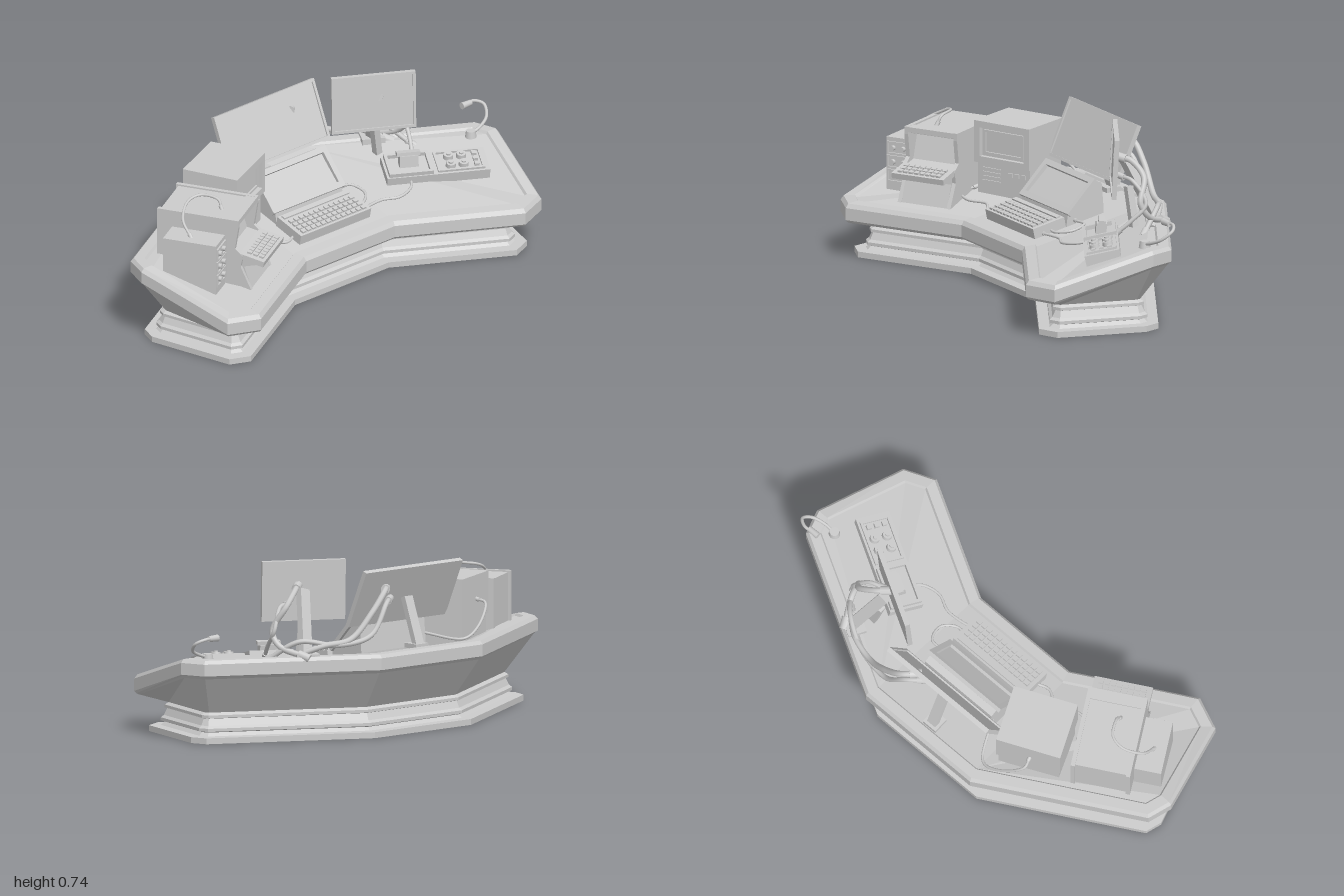
import * as THREE from 'three';

const mat = new THREE.MeshStandardMaterial({ color: 0xcccccc });
const flat = new THREE.MeshStandardMaterial({ color: 0xcccccc, flatShading: true });

function add(parent, name, geo, pos = [0, 0, 0], rot = [0, 0, 0], m = mat) {
  const mesh = new THREE.Mesh(geo, m);
  mesh.name = name;
  mesh.position.set(...pos);
  mesh.rotation.set(...rot);
  parent.add(mesh);
  return mesh;
}
const box = (parent, name, size, pos, rot) => add(parent, name, new THREE.BoxGeometry(...size), pos, rot);

function group(parent, name, pos, rot = [0, 0, 0]) {
  const g = new THREE.Group();
  g.name = name;
  g.position.set(...pos);
  g.rotation.set(...rot, 'YXZ');
  parent.add(g);
  return g;
}

// Side profile given as [z, y], extruded across x
function prism(points, width) {
  const shape = new THREE.Shape(points.map(p => new THREE.Vector2(...p)));
  return new THREE.ExtrudeGeometry(shape, { depth: width, bevelEnabled: false })
    .translate(0, 0, -width / 2).rotateY(-Math.PI / 2);
}

// Rectangular frame with an opening, facing +z
function frame(w, h, border, depth) {
  const rect = (S, a, b) => new S([[-a, -b], [a, -b], [a, b], [-a, b]].map(p => new THREE.Vector2(...p)));
  const shape = rect(THREE.Shape, w / 2, h / 2);
  shape.holes.push(rect(THREE.Path, w / 2 - border, h / 2 - border));
  return new THREE.ExtrudeGeometry(shape, { depth, bevelEnabled: false });
}

function cable(parent, points, r = 0.006, name = 'cable') {
  const curve = new THREE.CatmullRomCurve3(points.map(p => new THREE.Vector3(...p)));
  const mesh = add(parent, name, new THREE.TubeGeometry(curve, 40, r, 8));
  // plugs at both ends
  for (const t of [0, 1]) {
    const plug = add(parent, 'cablePlug', new THREE.CylinderGeometry(r * 1.5, r * 1.5, r * 4, 10), curve.getPoint(t).toArray());
    plug.quaternion.setFromUnitVectors(new THREE.Vector3(0, 1, 0), curve.getTangent(t));
  }
  return mesh;
}

function rod(parent, name, a, b, w, d) {
  const A = new THREE.Vector3(...a), B = new THREE.Vector3(...b);
  const m = box(parent, name, [w, A.distanceTo(B), d], A.clone().lerp(B, 0.5).toArray());
  m.quaternion.setFromUnitVectors(new THREE.Vector3(0, 1, 0), B.sub(A).normalize());
}

// Desk outline as [x, z]: back, right side, front, left side
const half = [[0.29, -0.48], [0.957, -0.107], [0.99, 0], [0.872, 0.413], [0.735, 0.47], [0.246, 0.197]];
const outline = [[-0.29, -0.48], ...half, ...half.slice(1).reverse().map(([x, z]) => [-x, z])];
const WING = 0.512, SLOPE = 0.21;

function inset(d) {
  const n = outline.length;
  const normal = (a, b) => new THREE.Vector2(a[1] - b[1], b[0] - a[0]).normalize();
  return outline.map((p, i) => {
    const n1 = normal(outline[(i + n - 1) % n], p), n2 = normal(p, outline[(i + 1) % n]);
    const k = d / (1 + n1.dot(n2));
    return [p[0] + k * (n1.x + n2.x), p[1] + k * (n1.y + n2.y)];
  });
}

// Height of the sloped worktop
function deskY(x, z) {
  const d = Math.max(0.197 - z, 0.49 * (Math.abs(x) - 0.246) - 0.872 * (z - 0.197));
  return Math.min(0.352, 0.228 + 0.215 * d);
}

// Console body: rings of [inset, height at back, height at front]
function deskGeometry() {
  const rings = [
    [0.055, 0, 0], [0.055, 0.025, 0.025], [0.1, 0.026, 0.026], [0.115, 0.04, 0.04], [0.1, 0.045, 0.045], [0.1, 0.058, 0.058],
    [0.112, 0.068, 0.068], [0.125, 0.097, 0.097], [0.115, 0.1, 0.1], [0.115, 0.112, 0.112], [0.13, 0.122, 0.122],
    [0.018, 0.28, 0.155], [0.008, 0.29, 0.16], [0, 0.295, 0.17], [0, 0.345, 0.222], [0.012, 0.36, 0.24],
    [0.055, 0.36, 0.246], [0.062, 0.35, 0.236],
  ];
  const pos = [], idx = [], n = outline.length;
  rings.forEach(([d, yb, yf], r) => inset(d).forEach(([x, z], i) => {
    pos.push(x, i > 3 && i < 10 ? yf : yb, z);
    if (r === 0) return;
    const a = (r - 1) * n + i, b = (r - 1) * n + (i + 1) % n;
    idx.push(a, a + n, b, b, a + n, b + n);
  }));
  // caps: centre bay and two wings
  const caps = [[0, 1, 6], [0, 6, 7]];
  for (let i = 2; i < 6; i++) caps.push([1, i, i + 1]);
  for (let i = 7; i < 11; i++) caps.push([0, i, i + 1]);
  const t = (rings.length - 1) * n;
  for (const [a, b, c] of caps) idx.push(a, b, c, t + a, t + c, t + b);
  const g = new THREE.BufferGeometry();
  g.setAttribute('position', new THREE.Float32BufferAttribute(pos, 3));
  g.setIndex(idx);
  g.computeVertexNormals();
  return g;
}

function flatScreen(parent, name, w, h, pos, rot) {
  const g = group(parent, name, pos, rot);
  box(g, 'screenBack', [w, h, 0.014], [0, 0, -0.004]);
  add(g, 'screenBezel', frame(w, h, 0.012, 0.008), [0, 0, 0.002]);
  return g;
}

function keys(parent, cols, rows, w, d, y, z) {
  for (let r = 0; r < rows; r++) for (let c = 0; c < cols; c++) {
    box(parent, 'key', [w / cols * 0.75, 0.01, d / rows * 0.72],
      [(c + 0.5) / cols * w - w / 2, y, z + (r + 0.5) / rows * d - d / 2]);
  }
}

export function createModel() {
  const model = new THREE.Group();
  model.name = 'controlDesk';
  add(model, 'deskBody', deskGeometry(), [-0.006, 0, 0], [0, 0, 0], flat);

  // Wide centre screen with post
  flatScreen(model, 'wideScreen', 0.555, 0.262, [-0.01, 0.575, -0.305], [-0.42, 0, 0]);
  rod(model, 'screenPost', [-0.01, 0.34, -0.4], [-0.01, 0.56, -0.32], 0.045, 0.025);
  box(model, 'postFoot', [0.07, 0.02, 0.07], [-0.01, 0.36, -0.38]);

  // Angled right screen with leaning stand
  flatScreen(model, 'sideScreen', 0.36, 0.255, [0.42, 0.612, -0.145], [-0.05, -WING, 0]);
  rod(model, 'sideScreenArm', [0.54, 0.34, -0.29], [0.45, 0.62, -0.175], 0.05, 0.03);
  rod(model, 'sideScreenBrace', [0.49, 0.33, -0.2], [0.46, 0.5, -0.19], 0.03, 0.03);
  box(model, 'standFoot', [0.1, 0.03, 0.08], [0.53, 0.355, -0.28], [0, -WING, 0]);

  // Centre console: tilted display and keyboard
  const centre = group(model, 'centreTerminal', [-0.01, 0, 0]);
  add(centre, 'displayBody', prism([[-0.24, 0.33], [-0.23, 0.445], [-0.2, 0.455], [-0.065, 0.325], [-0.055, 0.26], [-0.24, 0.28]], 0.37));
  add(centre, 'displayFrame', frame(0.4, 0.19, 0.025, 0.018), [0, 0.39, -0.135], [-0.766, 0, 0]);
  const board = group(centre, 'keyboard', [0, 0.285, 0.03], [SLOPE, 0, 0]);
  box(board, 'keyboardCase', [0.39, 0.045, 0.155], [0, 0, 0]);
  keys(board, 13, 4, 0.36, 0.105, 0.026, 0.018);
  box(board, 'keyboardStrip', [0.36, 0.01, 0.02], [0, 0.024, -0.058]);

  // Cube monitor on a vented base, left of centre
  const cube = group(model, 'cubeMonitor', [-0.395, 0, -0.17], [0, 0.42, 0]);
  box(cube, 'monitorCase', [0.28, 0.18, 0.23], [0, 0.512, -0.005]);
  add(cube, 'monitorFrame', frame(0.28, 0.18, 0.028, 0.02), [0, 0.512, 0.11]);
  add(cube, 'screenRim', frame(0.2, 0.105, 0.01, 0.008), [0, 0.512, 0.11]);
  box(cube, 'monitorBase', [0.265, 0.15, 0.225], [0, 0.35, 0]);
  for (let i = 0; i < 4; i++) box(cube, 'vent', [0.09, 0.006, 0.008], [-0.06, 0.345 + i * 0.018, 0.114]);
  for (let i = 0; i < 3; i++) box(cube, 'baseButton', [0.022, 0.018, 0.01], [0.035 + i * 0.033, 0.385, 0.114]);

  // Tall terminal on the left wing
  const tall = group(model, 'tallTerminal', [-0.55, 0, 0.17], [0, WING, 0]);
  add(tall, 'terminalCore', prism([[-0.35, 0.25], [-0.35, 0.555], [-0.02, 0.555], [-0.025, 0.53], [-0.075, 0.515],
    [-0.045, 0.415], [0.1, 0.385], [0.1, 0.368], [0.02, 0.345], [0.06, 0.23]], 0.22));
  for (const s of [-1, 1]) {
    add(tall, 'terminalCheek', prism([[-0.36, 0.25], [-0.36, 0.562], [0, 0.562], [0, 0.53], [-0.015, 0.43],
      [0.02, 0.4], [0.01, 0.35], [0.065, 0.23]], 0.018), [s * 0.118, 0, 0]);
  }
  box(tall, 'terminalBrow', [0.222, 0.022, 0.05], [0, 0.55, -0.025]);
  const shelf = group(tall, 'terminalKeys', [0, 0.398, 0.06], [SLOPE, 0, 0]);
  box(shelf, 'shelf', [0.25, 0.025, 0.11], [0, -0.012, 0]);
  keys(shelf, 8, 3, 0.21, 0.08, 0.004, 0.005);

  // Small rack unit beside it
  const rack = group(model, 'rackUnit', [-0.8, 0, 0.11], [0, WING, 0]);
  box(rack, 'rackCase', [0.115, 0.24, 0.235], [0, 0.37, 0]);
  for (const y of [0.445, 0.385, 0.325]) {
    add(rack, 'rackPanel', frame(0.105, 0.055, 0.007, 0.01), [0, y, 0.115]);
    for (const x of [-0.024, 0.024]) {
      add(rack, 'rackKnob', new THREE.CylinderGeometry(0.011, 0.011, 0.02, 12), [x, y, 0.123], [Math.PI / 2, 0, 0]);
    }
  }

  // Sloped control panel on the right wing
  const panel = group(model, 'controlPanel', [0.61, deskY(0.61, 0.03) + 0.012, 0.03], [SLOPE, -WING, 0]);
  box(panel, 'panelCase', [0.44, 0.045, 0.15], [0, 0, 0]);
  add(panel, 'panelFrame', frame(0.2, 0.13, 0.01, 0.012), [0.1, 0.02, 0], [-Math.PI / 2, 0, 0]);
  for (const x of [0.06, 0.115]) for (const z of [-0.028, 0.028]) {
    add(panel, 'dial', new THREE.CylinderGeometry(0.02, 0.022, 0.022, 16), [x, 0.03, z]);
    add(panel, 'dialCap', new THREE.CylinderGeometry(0.01, 0.01, 0.032, 12), [x, 0.032, z]);
  }
  for (const z of [-0.035, 0, 0.035]) box(panel, 'panelSwitch', [0.02, 0.018, 0.02], [0.17, 0.027, z]);
  add(panel, 'padFrame', frame(0.19, 0.14, 0.014, 0.02), [-0.115, 0.02, 0], [-Math.PI / 2, 0, 0]);
  box(panel, 'lever', [0.08, 0.05, 0.045], [-0.115, 0.045, -0.01], [-0.3, 0, 0]);
  box(panel, 'leverHead', [0.1, 0.015, 0.03], [-0.115, 0.075, -0.02], [-0.3, 0, 0]);

  // Gooseneck microphone at the right end
  add(model, 'micBase', new THREE.CylinderGeometry(0.02, 0.025, 0.03, 12), [0.86, 0.36, -0.03]);
  cable(model, [[0.86, 0.36, -0.03], [0.91, 0.375, -0.03], [0.965, 0.4, -0.05], [0.985, 0.435, -0.09], [0.95, 0.452, -0.115], [0.9, 0.452, -0.11]], 0.007, 'micNeck');
  add(model, 'micHead', new THREE.CylinderGeometry(0.015, 0.012, 0.05, 12), [0.905, 0.452, -0.11], [0, 0, Math.PI / 2]);

  // Heavy cables behind the screens
  cable(model, [[0.13, 0.61, -0.34], [0.17, 0.61, -0.38], [0.25, 0.53, -0.39], [0.36, 0.42, -0.37], [0.48, 0.4, -0.33], [0.58, 0.35, -0.24]], 0.013);
  cable(model, [[0.1, 0.56, -0.33], [0.16, 0.55, -0.375], [0.26, 0.43, -0.39], [0.42, 0.4, -0.355], [0.56, 0.42, -0.27], [0.64, 0.34, -0.16]], 0.011);
  cable(model, [[0.46, 0.63, -0.15], [0.5, 0.62, -0.18], [0.57, 0.56, -0.2], [0.61, 0.46, -0.16], [0.61, 0.4, -0.2], [0.56, 0.36, -0.3]], 0.013);
  cable(model, [[0.5, 0.56, -0.13], [0.56, 0.55, -0.15], [0.62, 0.46, -0.18], [0.6, 0.39, -0.12], [0.57, 0.34, -0.07]], 0.009);

  // Light cables over the desk and on top of the terminals
  const onDesk = pts => cable(model, pts.map(([x, z]) => [x, deskY(x, z) + 0.008, z]));
  onDesk([[0.18, 0.06], [0.24, 0.05], [0.3, 0.05], [0.37, 0.08], [0.45, 0.06], [0.5, -0.01]]);
  onDesk([[0.18, -0.1], [0.25, -0.1], [0.27, -0.03], [0.22, 0.02], [0.17, 0.02]]);
  onDesk([[-0.5, -0.02], [-0.5, 0.05], [-0.42, 0.07], [-0.33, 0.03], [-0.25, 0.07], [-0.19, 0.05]]);
  cable(model, [[-0.45, 0.5, -0.28], [-0.46, 0.49, -0.32], [-0.36, 0.4, -0.38], [-0.28, 0.36, -0.38], [-0.19, 0.38, -0.22]]);
  cable(model, [[-0.63, 0.56, 0.09], [-0.63, 0.592, 0.07], [-0.67, 0.6, 0], [-0.73, 0.585, -0.01], [-0.8, 0.54, 0.04], [-0.81, 0.49, 0.1]]);
  return model;
}
